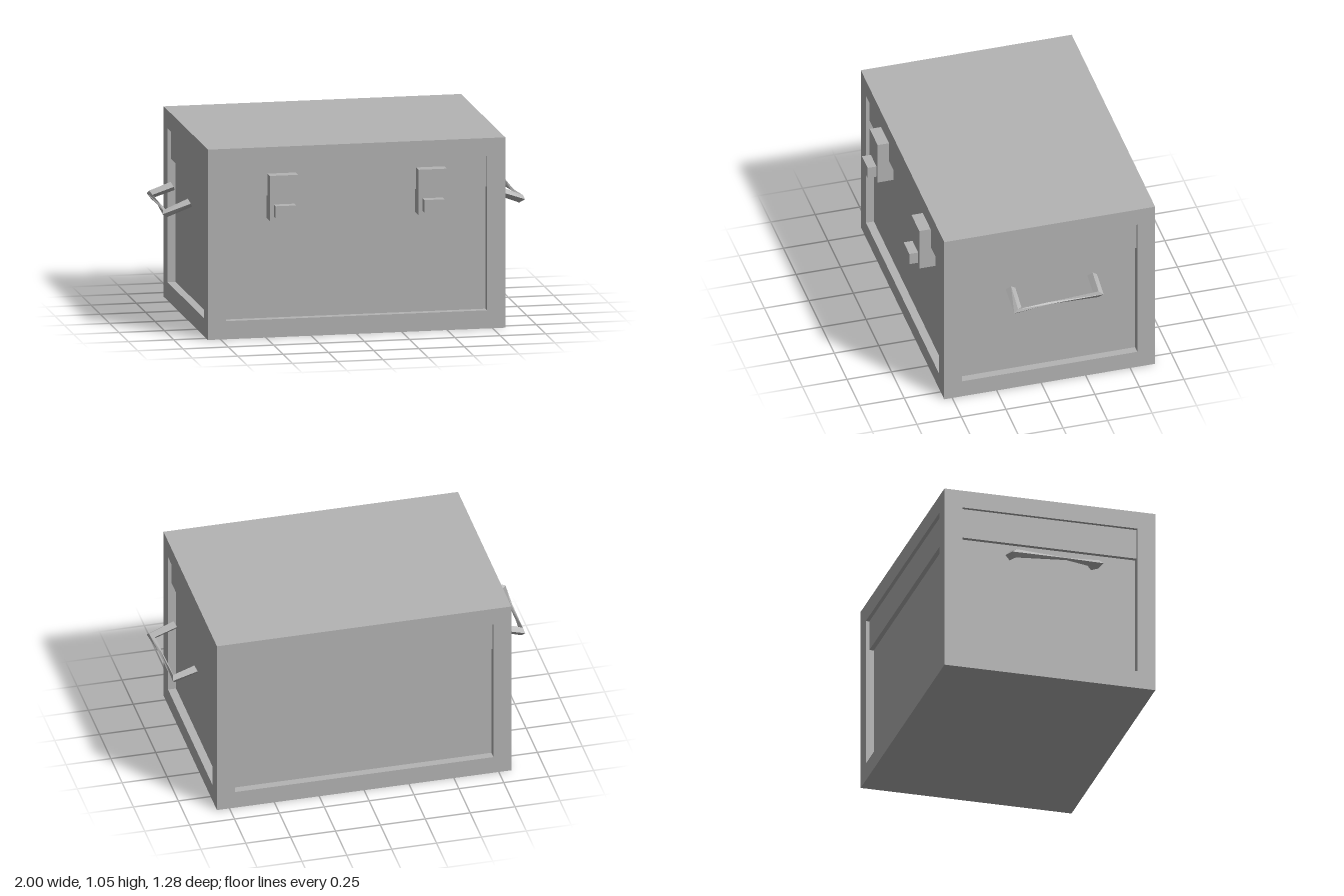
import * as THREE from 'three';

const W = 1.64, H = 1.05, D = 1.185, CZ = -0.0475; // body size and z centre
const RIM = 0.1, DEEP = 0.045, LID_DEEP = 0.02, LID_Y = 0.78;

// Skins a row of four-cornered rings with flat faces, with optional end caps
function loft(rings, capStart, capEnd) {
  const pos = [];
  const quad = (a, b, c, d) => pos.push(...a, ...b, ...c, ...a, ...c, ...d);
  for (let r = 0; r < rings.length - 1; r++) {
    const a = rings[r], b = rings[r + 1];
    for (let i = 0; i < 4; i++) {
      const j = (i + 1) % 4;
      quad(a[i], a[j], b[j], b[i]);
    }
  }
  if (capStart) quad(...[...rings[0]].reverse());
  if (capEnd) quad(...rings[rings.length - 1]);
  const geo = new THREE.BufferGeometry();
  geo.setAttribute('position', new THREE.Float32BufferAttribute(pos, 3));
  geo.computeVertexNormals();
  return geo;
}

const rect = (w, y0, y1, z) => [[-w / 2, y0, z], [w / 2, y0, z], [w / 2, y1, z], [-w / 2, y1, z]];

export function createModel() {
  const model = new THREE.Group();
  model.name = 'chest';
  const grey = new THREE.MeshStandardMaterial({ color: 0xb4b4b4 });
  grey.name = 'grey';

  const add = (parent, name, geo, x = 0, y = 0, z = 0) => {
    const mesh = new THREE.Mesh(geo, grey);
    mesh.name = name;
    mesh.position.set(x, y, z);
    parent.add(mesh);
    return mesh;
  };

  // Four framed walls, each with a deep panel and a shallower lid panel
  const body = new THREE.Group();
  body.name = 'body';
  body.position.z = CZ;
  model.add(body);
  ['front', 'left', 'back', 'right'].forEach((side, i) => {
    const w = i % 2 ? D : W, out = (i % 2 ? W : D) / 2, inner = w - 2 * RIM;
    const wall = new THREE.Group();
    wall.name = side + 'Wall';
    wall.rotation.y = i * Math.PI / 2;
    add(wall, side + 'Frame', loft([
      rect(w, 0, H, out),
      rect(inner, RIM, H - RIM, out),
      rect(inner, RIM, H - RIM, out - DEEP),
    ], false, true));
    const lidH = H - RIM - LID_Y, lidT = DEEP - LID_DEEP;
    add(wall, side + 'LidPanel', new THREE.BoxGeometry(inner, lidH, lidT),
      0, LID_Y + lidH / 2, out - LID_DEEP - lidT / 2);
    body.add(wall);
  });
  add(body, 'top', new THREE.PlaneGeometry(W, D), 0, H).rotation.x = -Math.PI / 2;
  add(body, 'bottom', new THREE.PlaneGeometry(W, D)).rotation.x = Math.PI / 2;

  // Square-section handle: front arm, pinched grip bar, back arm
  const arm = (z, s) => [
    [0.856, 0.708, z], [0.845, 0.685, z + s * 0.027],
    [0.834, 0.662, z], [0.845, 0.685, z - s * 0.027],
  ];
  const handleGeo = loft([
    arm(0.18, 1),
    [[0.993, 0.65, 0.18], [1.0, 0.632, 0.203], [0.972, 0.61, 0.18], [0.965, 0.64, 0.153]],
    [[0.975, 0.65, 0], [0.985, 0.643, 0], [0.975, 0.636, 0], [0.965, 0.643, 0]],
    [[0.975, 0.665, -0.278], [0.982, 0.645, -0.305], [0.965, 0.62, -0.28], [0.963, 0.645, -0.253]],
    arm(-0.278, -1),
  ], true, true);

  // Mirrored handles and latches
  for (const [side, s] of [['left', 1], ['right', -1]]) {
    add(model, side + 'Handle', handleGeo).scale.x = s;
    const latch = new THREE.Group();
    latch.name = side + 'Latch';
    latch.position.x = s * 0.41;
    add(latch, 'latchPlate', new THREE.BoxGeometry(0.155, 0.25, 0.09), 0, 0.775, 0.545);
    add(latch, 'latchCatch', new THREE.BoxGeometry(0.112, 0.068, 0.05), 0, 0.708, 0.615);
    model.add(latch);
  }
  return model;
}
